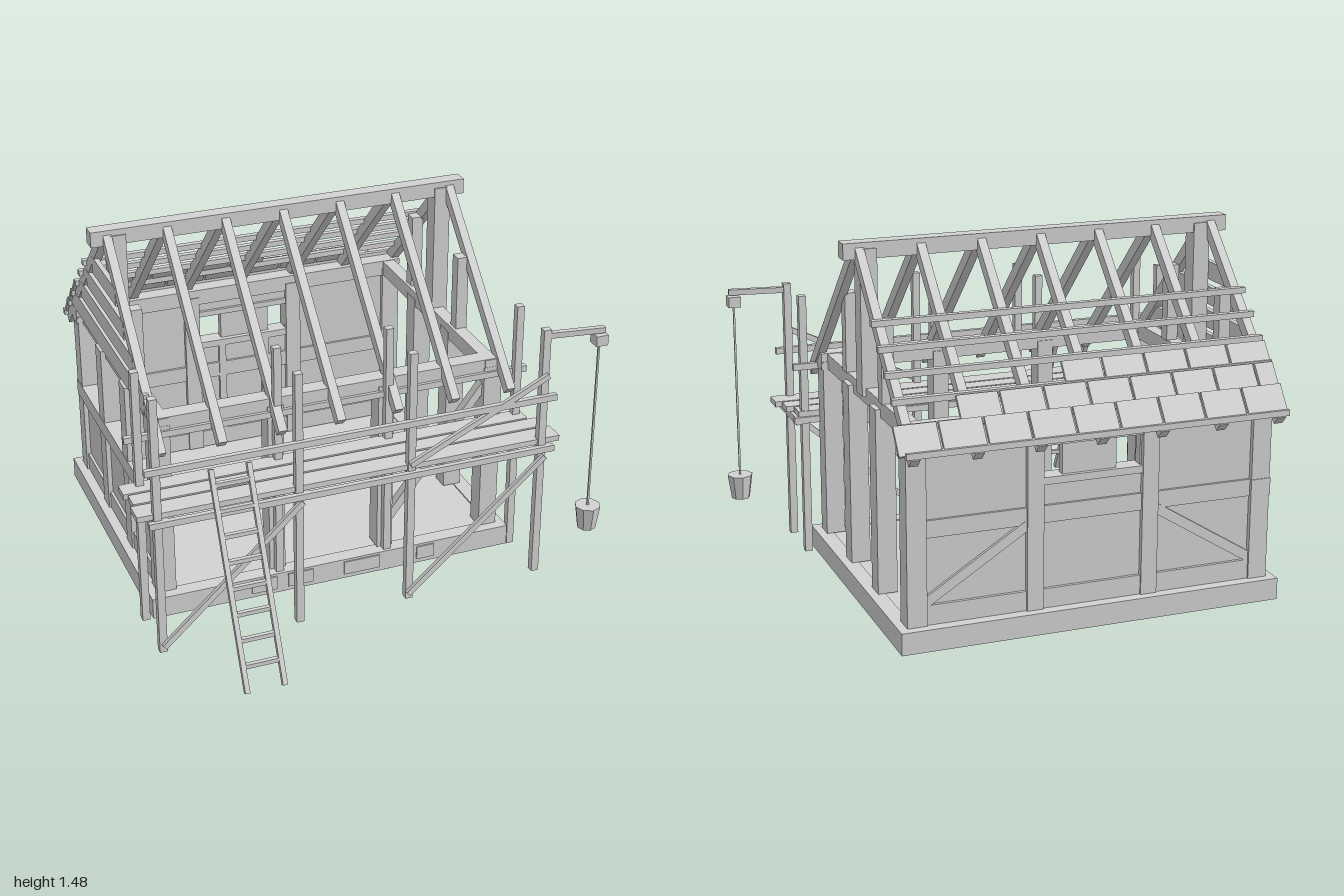
import * as THREE from 'three';

const grey = new THREE.MeshStandardMaterial({ color: 0xd2d2d2 });
grey.name = 'plain grey';

export function createModel() {
  const root = new THREE.Group();
  root.name = 'timberHouseUnderConstruction';
  const group = (name) => {
    const g = new THREE.Group();
    g.name = name;
    root.add(g);
    return g;
  };
  const add = (parent, name, geo) => {
    const m = new THREE.Mesh(geo, grey);
    m.name = name;
    parent.add(m);
    return m;
  };
  // box given by its extents on each axis
  const block = (parent, name, x0, x1, y0, y1, z0, z1) => {
    const m = add(parent, name, new THREE.BoxGeometry(x1 - x0, y1 - y0, z1 - z0));
    m.position.set((x0 + x1) / 2, (y0 + y1) / 2, (z0 + z1) / 2);
    return m;
  };
  // square-cut timber running from a to b
  const beam = (parent, name, a, b, w, h = w) => {
    const p = new THREE.Vector3(...a), q = new THREE.Vector3(...b);
    const m = add(parent, name, new THREE.BoxGeometry(w, h, p.distanceTo(q)));
    m.position.copy(p).add(q).multiplyScalar(0.5);
    m.lookAt(q);
    return m;
  };

  const bayX = [-0.82, -0.34, 0.14, 0.62];
  const bayZ = [0.265, -0.1, -0.46, -0.825];
  const ridgeZ = -0.28;

  // Base ring and floor
  const base = group('base');
  block(base, 'baseFront', -0.895, 0.695, 0.01, 0.1, 0.285, 0.35);
  block(base, 'baseBack', -0.895, 0.695, 0.01, 0.1, -0.903, -0.838);
  block(base, 'baseRight', -0.895, -0.83, 0.01, 0.1, -0.838, 0.285);
  block(base, 'baseLeft', 0.63, 0.695, 0.01, 0.1, -0.838, 0.285);
  block(base, 'floor', -0.83, 0.63, 0.025, 0.095, -0.838, 0.285);
  for (const [x0, x1] of [[-0.47, -0.36], [-0.31, -0.2], [-0.06, 0.1], [0.27, 0.35]])
    block(base, 'baseStone', x0, x1, 0.03, 0.09, 0.34, 0.356);

  // Posts and top plates
  const frame = group('frame');
  bayX.forEach((x, i) => bayZ.forEach((z, j) => {
    const edgeX = i === 0 || i === 3, edgeZ = j === 0 || j === 3;
    if (!edgeX && !edgeZ) return;
    const w = edgeX ? 0.04 : 0.034;
    block(frame, 'post', x - w, x + w, 0.1, 0.86, z - 0.041, z + 0.041);
  }));
  for (const z of [bayZ[0], bayZ[3]])
    block(frame, 'longPlate', -0.865, 0.665, 0.825, 0.895, z - 0.036, z + 0.036);
  for (const x of [-0.811, 0.611])
    block(frame, 'sidePlate', x - 0.028, x + 0.028, 0.827, 0.893, -0.865, 0.305);
  beam(frame, 'frontBrace', [0.17, 0.22, 0.265], [0.6, 0.78, 0.265], 0.04, 0.035);

  // Back wall, filled, with a window in the middle bay
  const back = group('backWall');
  const wall = new THREE.Shape();
  wall.moveTo(-0.8, 0.1).lineTo(0.6, 0.1).lineTo(0.6, 0.83).lineTo(-0.8, 0.83).closePath();
  const hole = new THREE.Path();
  hole.moveTo(-0.3, 0.62).lineTo(-0.3, 0.76).lineTo(0.105, 0.76).lineTo(0.105, 0.62).closePath();
  wall.holes.push(hole);
  add(back, 'backInfill', new THREE.ExtrudeGeometry(wall, { depth: 0.04, bevelEnabled: false }))
    .position.z = -0.845;
  block(back, 'backSill', -0.84, 0.64, 0.1, 0.18, -0.858, -0.792);
  block(back, 'backRail', -0.86, 0.66, 0.45, 0.52, -0.856, -0.794);
  block(back, 'windowSill', -0.31, 0.11, 0.605, 0.635, -0.862, -0.788);
  block(back, 'windowHead', -0.31, 0.11, 0.76, 0.785, -0.858, -0.792);
  block(back, 'windowShutter', -0.2, 0.025, 0.62, 0.77, -0.845, -0.81);
  for (const x of [-0.2, 0.005])
    block(back, 'backStud', x - 0.016, x + 0.016, 0.18, 0.62, -0.815, -0.79);
  beam(back, 'backBraceRight', [-0.8, 0.18, -0.835], [-0.37, 0.45, -0.835], 0.046, 0.04);
  beam(back, 'backBraceLeft', [0.6, 0.18, -0.835], [0.17, 0.45, -0.835], 0.046, 0.04);

  // Half-height infill on the right side
  const side = group('rightWall');
  block(side, 'sideInfill', -0.84, -0.8, 0.1, 0.5, -0.8, 0.24);
  block(side, 'sideSill', -0.852, -0.788, 0.1, 0.177, -0.85, 0.28);
  block(side, 'sideRail', -0.862, -0.778, 0.45, 0.52, -0.87, 0.3);

  // Roof timbers
  const roof = group('roof');
  block(roof, 'ridgeBeam', -0.915, 0.72, 1.41, 1.475, ridgeZ - 0.032, ridgeZ + 0.032);
  for (const x of [-0.805, 0.62]) {
    block(roof, 'kingPost', x - 0.035, x + 0.035, 0.86, 1.45, ridgeZ - 0.038, ridgeZ + 0.038);
    for (const s of [-1, 1]) {
      const z = ridgeZ + s * 0.238;
      block(roof, 'gableStud', x - 0.025, x + 0.025, 0.89, 1.22, z - 0.026, z + 0.026);
    }
  }
  for (let i = 0; i < 7; i++) {
    const x = -0.846 + i * 0.25;
    for (const s of [-1, 1])
      beam(roof, 'rafter', [x, 1.455, ridgeZ], [x, 0.785, ridgeZ + s * 0.675], 0.036, 0.046);
  }
  // Boards closing the right gable
  [[1.21, 1.285, -0.1, -0.45], [1.105, 1.18, 0, -0.56], [1.005, 1.08, 0.11, -0.67], [0.895, 0.98, 0.25, -0.815]]
    .forEach(([y0, y1, z0, z1]) => block(roof, 'gableBoard', -0.865, -0.843, y0, y1, z1, z0));

  // Level battens let into the back slope, with the first tile courses close on the rafters
  for (let i = 0; i < 6; i++) {
    const z = -0.557 - i * 0.08, y = 1.774 + z;
    block(roof, 'batten', -0.88, 0.69, y - 0.012, y + 0.012, z - 0.013, z + 0.013);
  }
  const courses = [[-0.922, 0.72], [-0.852, 0.45], [-0.783, 0]];
  courses.forEach(([z, end], row) => {
    let x = -0.88;
    while (x < end - 0.01) {
      const w = row === 1 && x === -0.88 ? 0.089 : 0.178;
      const x1 = Math.min(x + w, end);
      const m = add(roof, 'roofTile', new THREE.BoxGeometry(x1 - x - 0.01, 0.015, 0.12));
      m.position.set((x + x1) / 2, 1.786 + z, z);
      m.rotation.x = -Math.PI / 4 - 0.14;
      x = x1;
    }
  });

  // Scaffold
  const scaffold = group('scaffold');
  const poleX = [-0.92, -0.34, 0.14, 0.72];
  for (const x of poleX) {
    for (const z of [0.32, 0.56])
      block(scaffold, 'pole', x - 0.016, x + 0.016, 0, 1.13, z - 0.016, z + 0.016);
    block(scaffold, 'transom', x + 0.014, x + 0.042, 0.575, 0.605, 0.295, 0.585);
  }
  for (const z of [0.304, 0.582]) {
    block(scaffold, 'lowerLedger', -0.96, 0.77, 0.58, 0.607, z - 0.011, z + 0.011);
    block(scaffold, 'guardRail', -0.97, 0.77, 0.815, 0.842, z - 0.011, z + 0.011);
  }
  [[-1, 0.75, 0.3, 0.38], [-0.985, 0.78, 0.39, 0.465], [-1, 0.805, 0.475, 0.565]]
    .forEach(([x0, x1, z0, z1]) => block(scaffold, 'plank', x0, x1, 0.608, 0.632, z0, z1));
  [[-0.92, 0.03, -0.33, 0.57], [0.13, 0.03, 0.73, 0.56], [0.13, 0.64, 0.73, 0.93]]
    .forEach(([x0, y0, x1, y1]) => beam(scaffold, 'scaffoldBrace', [x0, y0, 0.584], [x1, y1, 0.584], 0.018, 0.024));

  // Ladder
  const ladder = group('ladder');
  const ladderZ = (y) => 0.965 - y * 0.475;
  for (const x of [-0.706, -0.552])
    beam(ladder, 'ladderRail', [x, 0.008, ladderZ(0)], [x, 0.795, ladderZ(0.8)], 0.02, 0.022);
  for (let i = 0; i < 8; i++) {
    const y = 0.1 + i * 0.0915;
    block(ladder, 'rung', -0.7, -0.558, y - 0.009, y + 0.009, ladderZ(y) - 0.009, ladderZ(y) + 0.009);
  }

  // Hoist with bucket
  const hoist = group('hoist');
  const hx = 0.945, hz = 0.592;
  beam(hoist, 'hoistArm', [0.71, 1.102, 0.56], [0.965, 1.102, 0.595], 0.024);
  block(hoist, 'pulleyBlock', hx - 0.026, hx + 0.026, 1.04, 1.085, hz - 0.028, hz + 0.028);
  block(hoist, 'rope', hx - 0.004, hx + 0.004, 0.28, 1.05, hz - 0.004, hz + 0.004);
  const bucketShape = new THREE.CylinderGeometry(0.055, 0.04, 0.105, 8).toNonIndexed();
  bucketShape.computeVertexNormals();
  add(hoist, 'bucket', bucketShape).position.set(hx, 0.2325, hz);

  return root;
}
